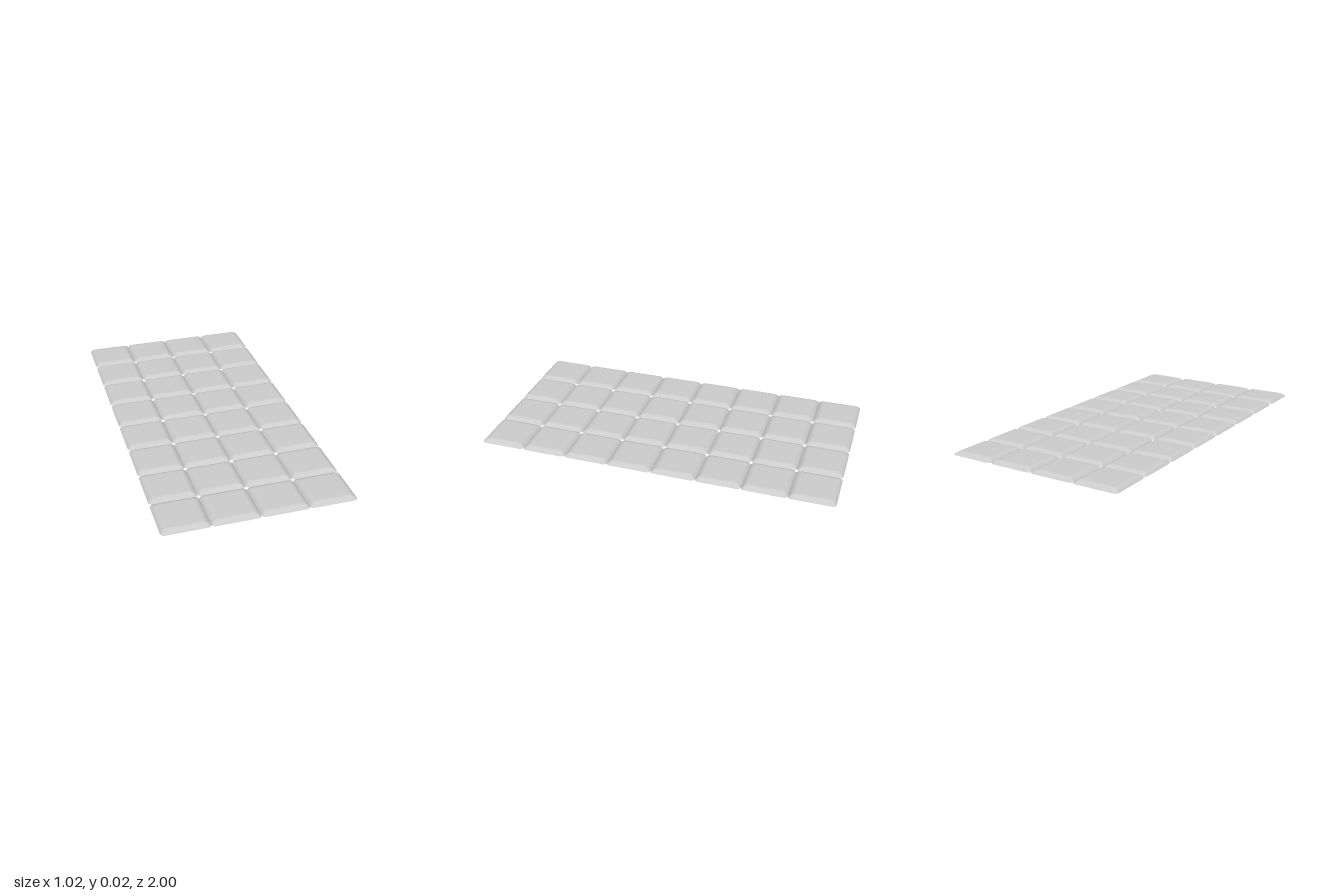
import * as THREE from 'three';

const COLS = 4, ROWS = 8, PITCH_X = 0.255, PITCH_Z = 0.25;

// Open pillow shell: rounded-rectangle rings rising from the rim to a flat top
function pillowGeometry(width, depth) {
  // [inset from the rim, height, corner radius]
  const profile = [
    [0, 0, 0.02], [0.005, 0.006, 0.019], [0.012, 0.0115, 0.017],
    [0.02, 0.016, 0.014], [0.028, 0.019, 0.011], [0.036, 0.02, 0.008],
  ];
  const steps = 4;
  const ring = 4 * (steps + 1);
  const positions = [], index = [];

  for (const [inset, y, r] of profile) {
    const hx = width / 2 - inset - r, hz = depth / 2 - inset - r;
    for (let corner = 0; corner < 4; corner++) {
      const sx = corner === 0 || corner === 3 ? 1 : -1;
      const sz = corner < 2 ? -1 : 1;
      for (let k = 0; k <= steps; k++) {
        const a = (corner + k / steps) * Math.PI / 2;
        positions.push(sx * hx + r * Math.cos(a), y, sz * hz - r * Math.sin(a));
      }
    }
  }

  // Curved sides
  for (let i = 0; i < profile.length - 1; i++) {
    for (let j = 0; j < ring; j++) {
      const n = (j + 1) % ring;
      const a = i * ring + j, b = i * ring + n;
      index.push(a, b, b + ring, a, b + ring, a + ring);
    }
  }

  // Flat top
  const last = (profile.length - 1) * ring;
  const centre = positions.length / 3;
  positions.push(0, profile[profile.length - 1][1], 0);
  for (let j = 0; j < ring; j++) index.push(last + j, last + (j + 1) % ring, centre);

  const geometry = new THREE.BufferGeometry();
  geometry.setAttribute('position', new THREE.Float32BufferAttribute(positions, 3));
  geometry.setIndex(index);
  geometry.computeVertexNormals();
  return geometry;
}

export function createModel() {
  const model = new THREE.Group();
  model.name = 'segmentedTablet';
  const material = new THREE.MeshStandardMaterial({ color: 0xcccccc, side: THREE.DoubleSide });
  const geometry = pillowGeometry(PITCH_X, PITCH_Z);

  // Grid of identical segments
  for (let row = 0; row < ROWS; row++) {
    for (let col = 0; col < COLS; col++) {
      const segment = new THREE.Mesh(geometry, material);
      segment.name = `segment_${row + 1}_${col + 1}`;
      segment.position.set((col - (COLS - 1) / 2) * PITCH_X, 0, (row - (ROWS - 1) / 2) * PITCH_Z);
      model.add(segment);
    }
  }
  return model;
}
